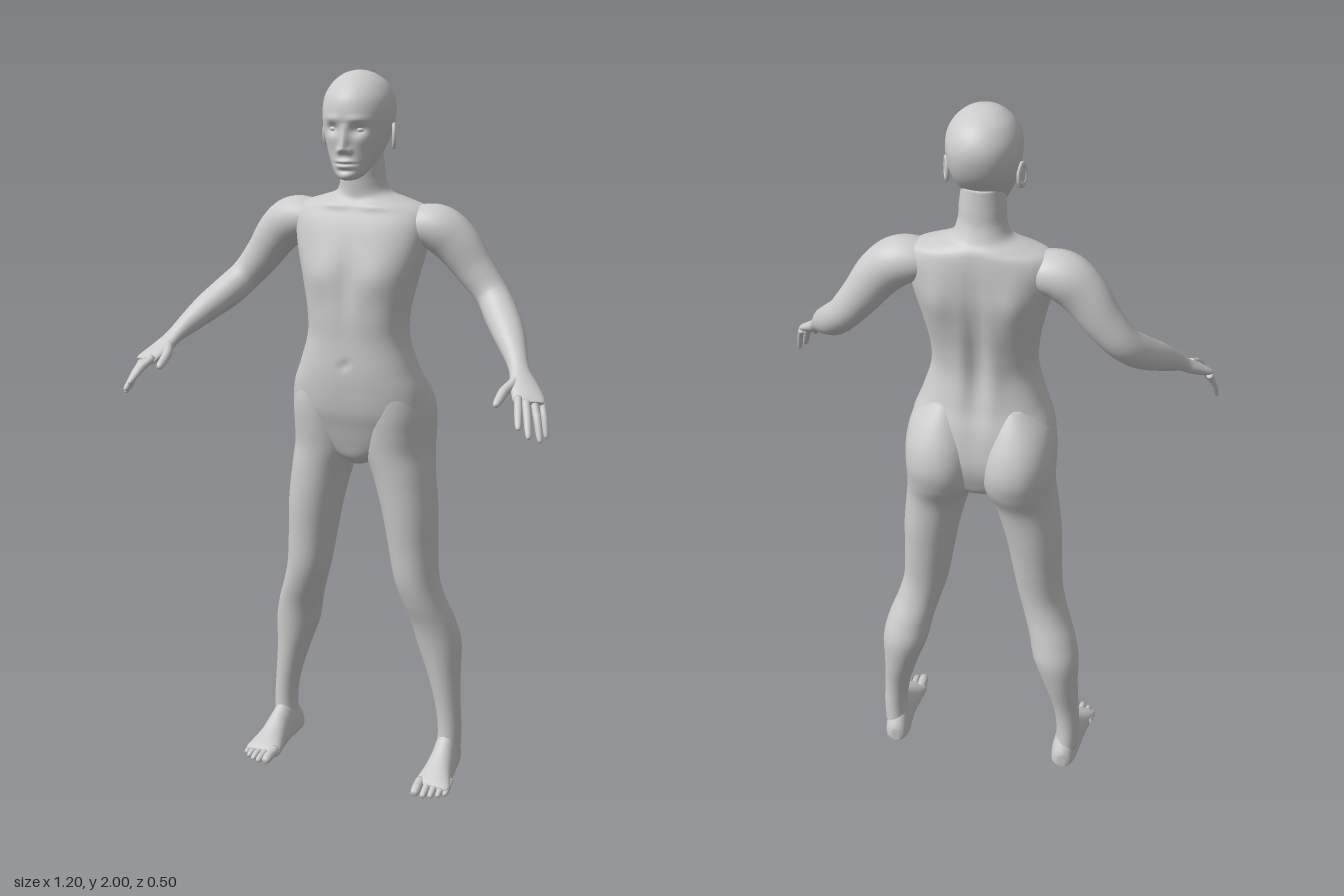
import * as THREE from 'three';

const material = new THREE.MeshStandardMaterial({ color: 0xcccccc });

// Catmull-Rom blend of rows of numbers, t in 0..1
function sample(rows, t) {
  const f = t * (rows.length - 1), i = Math.min(Math.floor(f), rows.length - 2), u = f - i;
  const at = k => rows[Math.max(0, Math.min(rows.length - 1, k))];
  const [a, b, c, d] = [at(i - 1), at(i), at(i + 1), at(i + 2)];
  return b.map((_, k) => b[k] + 0.5 * u * (c[k] - a[k] + u * (2 * a[k] - 5 * b[k] + 4 * c[k] - d[k]
    + u * (3 * (b[k] - c[k]) + d[k] - a[k]))));
}

// Closed skin over rings; ring(t, angle) gives a point. Both ends are capped.
function skin(name, ring, rings, sides) {
  const pos = [], idx = [], n = rings + 1;
  for (let j = 0; j < n; j++)
    for (let i = 0; i < sides; i++) pos.push(...ring(j / rings, (i / sides) * Math.PI * 2));
  for (const j of [0, rings]) {
    const c = [0, 0, 0];
    for (let i = 0; i < sides; i++) for (let k = 0; k < 3; k++) c[k] += pos[(j * sides + i) * 3 + k] / sides;
    pos.push(...c);
  }
  for (let i = 0; i < sides; i++) {
    const e = (i + 1) % sides;
    for (let j = 0; j < rings; j++) {
      const a = j * sides + i, b = j * sides + e;
      idx.push(a, b, a + sides, b, b + sides, a + sides);
    }
    idx.push(n * sides, e, i, n * sides + 1, rings * sides + i, rings * sides + e);
  }
  // turn the faces outward if the enclosed volume is negative
  let volume = 0;
  const v = k => new THREE.Vector3().fromArray(pos, k * 3);
  for (let k = 0; k < idx.length; k += 3) volume += v(idx[k]).dot(v(idx[k + 1]).cross(v(idx[k + 2])));
  if (volume < 0) idx.reverse();
  const g = new THREE.BufferGeometry();
  g.setAttribute('position', new THREE.Float32BufferAttribute(pos, 3));
  g.setIndex(idx);
  g.computeVertexNormals();
  const mesh = new THREE.Mesh(g, material);
  mesh.name = name;
  return mesh;
}

const power = (v, p) => Math.sign(v) * Math.abs(v) ** (2 / p);

// Upright form, rows: [y, centre x, half width, front z, back z, squareness]
function upright(name, rows, side, rings, sides, relief = () => 0) {
  return skin(name, (t, a) => {
    const [y, x, w, zf, zb, p] = sample(rows, t);
    const px = x + w * power(Math.cos(a), p), s = Math.sin(a);
    const pz = (zf + zb) / 2 + (zf - zb) / 2 * power(s, p);
    return [side * px, y, pz + relief(Math.abs(px), y, s)];
  }, rings, sides);
}

// Form along a path, rows: [x, y, z, sideways radius, upward radius]
function limb(name, rows, side, rings, sides) {
  const up = new THREE.Vector3(0, 1, 0), point = t => new THREE.Vector3(...sample(rows, t).slice(0, 3));
  return skin(name, (t, a) => {
    const r = sample(rows, t);
    const dir = point(Math.min(1, t + 0.01)).sub(point(Math.max(0, t - 0.01))).normalize();
    const across = dir.clone().cross(up).normalize(), over = across.clone().cross(dir);
    const p = point(t).addScaledVector(across, r[3] * Math.cos(a)).addScaledVector(over, r[4] * Math.sin(a));
    return [side * p.x, p.y, p.z];
  }, rings, sides);
}

// Finger or toe: a tapering rounded limb through three points
function digit(name, a, b, c, r, side) {
  const mix = (p, q, t) => p.map((v, i) => v + (q[i] - v) * t);
  const rows = [[...a, r, r], [...mix(a, b, 0.5), r, r * 0.95], [...b, r, r], [...mix(b, c, 0.6), r * 0.88, r * 0.85],
    [...mix(b, c, 0.92), r * 0.62, r * 0.6], [...c, r * 0.15, r * 0.15]];
  return limb(name, rows, side, 20, 12);
}

// Soft bump of given height at (cx, cy)
const bump = (x, y, cx, cy, sx, sy, h) => h * Math.exp(-(((x - cx) / sx) ** 2) - ((y - cy) / sy) ** 2);

// Chest, belly, spine and shoulder blade relief
function torsoRelief(x, y, s) {
  if (s > 0) return s * (bump(x, y, 0.085, 1.47, 0.055, 0.05, 0.01) + bump(x, y, 0, 1.45, 0.018, 0.1, -0.006)
    + bump(x, y, 0, 1.235, 0.01, 0.012, -0.008) + bump(x, y, 0.06, 1.655, 0.06, 0.012, 0.006));
  return -s * (bump(x, y, 0, 1.38, 0.022, 0.2, 0.014) + bump(x, y, 0.1, 1.53, 0.04, 0.07, -0.012)
    + bump(x, y, 0.045, 1.3, 0.025, 0.1, -0.005));
}

// Brow, eye sockets, nose, lips and chin
function faceRelief(x, y, s) {
  if (s <= 0) return 0;
  const nose = y > 1.808 ? Math.max(0, 1 - (y - 1.808) / 0.065) : Math.max(0, 1 - (1.808 - y) / 0.014);
  return s * (bump(x, y, 0.036, 1.858, 0.02, 0.014, -0.013) + bump(x, y, 0.035, 1.884, 0.03, 0.01, 0.004)
    + 0.022 * nose * Math.exp(-((x / 0.011) ** 2)) + bump(x, y, 0.014, 1.804, 0.007, 0.008, 0.008)
    + bump(x, y, 0, 1.777, 0.022, 0.005, 0.008) + bump(x, y, 0, 1.764, 0.019, 0.005, 0.008)
    + bump(x, y, 0, 1.7705, 0.025, 0.002, -0.005) + bump(x, y, 0, 1.752, 0.025, 0.005, -0.004)
    + bump(x, y, 0, 1.738, 0.02, 0.01, 0.004) + bump(x, y, 0.05, 1.83, 0.02, 0.02, 0.004));
}

const TORSO = [
  [0.935, 0, 0.03, -0.04, -0.13, 2], [0.96, 0, 0.09, -0.015, -0.18, 2], [1.0, 0, 0.16, 0.0, -0.2, 2.1],
  [1.05, 0, 0.188, 0.015, -0.212, 2.3], [1.1, 0, 0.196, 0.03, -0.21, 2.4], [1.16, 0, 0.188, 0.038, -0.198, 2.4],
  [1.22, 0, 0.165, 0.041, -0.178, 2.4], [1.3, 0, 0.141, 0.038, -0.163, 2.4], [1.37, 0, 0.141, 0.038, -0.167, 2.5],
  [1.45, 0, 0.156, 0.032, -0.181, 2.6], [1.52, 0, 0.174, 0.022, -0.19, 2.6], [1.58, 0, 0.186, 0.005, -0.19, 2.6],
  [1.62, 0, 0.188, -0.01, -0.188, 2.5], [1.65, 0, 0.17, -0.025, -0.184, 2.3], [1.668, 0, 0.12, -0.035, -0.178, 2.1],
  [1.685, 0, 0.076, -0.037, -0.165, 2], [1.72, 0, 0.061, -0.034, -0.15, 2], [1.76, 0, 0.058, -0.03, -0.145, 2],
  [1.81, 0, 0.052, -0.03, -0.14, 2]];

const HEAD = [
  [1.727, 0, 0.012, 0.025, 0.005, 2], [1.733, 0, 0.03, 0.034, -0.025, 2], [1.75, 0, 0.046, 0.038, -0.06, 2.1],
  [1.775, 0, 0.06, 0.038, -0.1, 2.2], [1.805, 0, 0.073, 0.039, -0.13, 2.2], [1.84, 0, 0.084, 0.042, -0.158, 2.2],
  [1.875, 0, 0.09, 0.045, -0.173, 2.2], [1.91, 0, 0.092, 0.044, -0.178, 2.1], [1.94, 0, 0.087, 0.034, -0.17, 2],
  [1.968, 0, 0.07, 0.01, -0.148, 2], [1.988, 0, 0.045, -0.018, -0.115, 2], [1.997, 0, 0.022, -0.043, -0.088, 2],
  [2.0, 0, 0.003, -0.062, -0.068, 2]];

// Starts in the pelvis so that the upper rings form the buttock
const LEG = [
  [1.22, 0.09, 0.05, 0.0, -0.165, 2], [1.16, 0.1, 0.085, 0.018, -0.207, 2], [1.1, 0.103, 0.097, 0.02, -0.237, 2.1],
  [1.04, 0.102, 0.1, 0.014, -0.247, 2.1], [0.98, 0.104, 0.097, 0.006, -0.233, 2.1], [0.91, 0.122, 0.086, 0.001, -0.204, 2.1],
  [0.8, 0.143, 0.077, -0.005, -0.19, 2.1], [0.7, 0.154, 0.069, -0.014, -0.178, 2.1], [0.6, 0.166, 0.063, -0.022, -0.168, 2.1],
  [0.53, 0.185, 0.062, -0.037, -0.173, 2.1], [0.46, 0.208, 0.065, -0.058, -0.191, 2], [0.39, 0.223, 0.065, -0.071, -0.204, 2],
  [0.3, 0.239, 0.049, -0.08, -0.194, 2], [0.2, 0.256, 0.037, -0.087, -0.174, 2], [0.12, 0.264, 0.034, -0.088, -0.17, 2],
  [0.05, 0.262, 0.034, -0.08, -0.175, 2]];

const ARM = [
  [0.08, 1.605, -0.1, 0.03, 0.03], [0.15, 1.603, -0.105, 0.06, 0.052], [0.21, 1.594, -0.11, 0.066, 0.063],
  [0.26, 1.555, -0.115, 0.057, 0.061], [0.31, 1.49, -0.12, 0.049, 0.052], [0.36, 1.43, -0.112, 0.045, 0.045],
  [0.4, 1.385, -0.07, 0.046, 0.044], [0.44, 1.345, -0.015, 0.041, 0.038], [0.475, 1.305, 0.04, 0.03, 0.028],
  [0.495, 1.28, 0.075, 0.027, 0.02], [0.515, 1.255, 0.105, 0.036, 0.018], [0.54, 1.23, 0.143, 0.041, 0.014],
  [0.547, 1.222, 0.157, 0.033, 0.008]];

// [z, centre x, half width, top y]
const FOOT = [
  [-0.188, 0.256, 0.012, 0.045], [-0.178, 0.256, 0.028, 0.065], [-0.15, 0.257, 0.036, 0.1], [-0.11, 0.261, 0.038, 0.118],
  [-0.07, 0.264, 0.039, 0.098], [-0.03, 0.265, 0.043, 0.072], [0.01, 0.267, 0.05, 0.05], [0.035, 0.268, 0.053, 0.036],
  [0.05, 0.267, 0.046, 0.026]];

// Knuckle and tip of index, middle, ring and little finger
const FINGERS = [
  ['indexFinger', [0.517, 1.236, 0.16], [0.545, 1.18, 0.247]], ['middleFinger', [0.537, 1.228, 0.158], [0.568, 1.155, 0.232]],
  ['ringFinger', [0.556, 1.222, 0.146], [0.588, 1.137, 0.196]], ['littleFinger', [0.57, 1.222, 0.124], [0.594, 1.14, 0.162]]];

function ellipsoid(name, r, at, side) {
  const m = new THREE.Mesh(new THREE.SphereGeometry(1, 24, 16), material);
  m.name = name;
  m.scale.set(...r);
  m.position.set(side * at[0], at[1], at[2]);
  return m;
}

export function createModel() {
  const model = new THREE.Group();
  model.name = 'figure';
  model.add(upright('torso', TORSO, 1, 130, 96, torsoRelief), upright('head', HEAD, 1, 130, 120, faceRelief));

  for (const side of [1, -1]) {
    const s = side > 0 ? 'left' : 'right';
    const part = name => s + name[0].toUpperCase() + name.slice(1);
    model.add(upright(part('leg'), LEG, side, 90, 48), limb(part('arm'), ARM, side, 80, 40));

    // Fingers bend a little below the straight line
    const hand = new THREE.Group();
    hand.name = part('hand');
    for (const [name, k, tip] of FINGERS) {
      const mid = k.map((v, i) => (v + tip[i]) / 2 + (i === 1 ? 0.006 : 0));
      hand.add(digit(name, k, mid, tip, name === 'littleFinger' ? 0.0085 : 0.01, side));
    }
    hand.add(digit('thumb', [0.497, 1.268, 0.1], [0.478, 1.246, 0.15], [0.473, 1.222, 0.208], 0.013, side));
    model.add(hand);

    // Foot runs along z with a flattened sole
    const foot = new THREE.Group();
    foot.name = part('foot');
    foot.add(skin('footBody', (t, a) => {
      const [z, x, w, top] = sample(FOOT, t), low = 0.018;
      const y = Math.sin(a) > 0 ? low + (top - low) * Math.sin(a) : low + low * power(Math.sin(a), 4);
      return [side * (x + w * Math.cos(a)), y, z];
    }, 40, 40));
    for (let i = 0; i < 5; i++) {
      const x = [0.231, 0.255, 0.275, 0.294, 0.31][i], r = [0.0145, 0.0105, 0.01, 0.0095, 0.009][i];
      const z = [0.094, 0.093, 0.086, 0.074, 0.058][i];
      foot.add(digit('toe', [x, 0.022, z - 0.065], [x + 0.003, r + 0.004, z - 0.025], [x + 0.004, r, z], r, side));
    }
    model.add(foot);

    // Ear: tilted rim around a shallow bowl
    const ear = new THREE.Group();
    ear.name = part('ear');
    const rim = new THREE.Mesh(new THREE.TorusGeometry(0.018, 0.005, 12, 32), material);
    rim.name = 'earRim';
    rim.scale.set(0.85, 1.5, 1);
    ear.add(rim, ellipsoid('earBowl', [0.015, 0.026, 0.004], [0, 0, 0], 1), ellipsoid('earLobe', [0.009, 0.01, 0.005], [0, -0.024, 0], 1));
    ear.position.set(side * 0.093, 1.835, -0.073);
    ear.rotation.set(0, side * (Math.PI / 2 + 0.4), 0);
    model.add(ear, ellipsoid(part('eye'), [0.014, 0.008, 0.01], [0.035, 1.857, 0.019], side));
  }
  return model;
}
